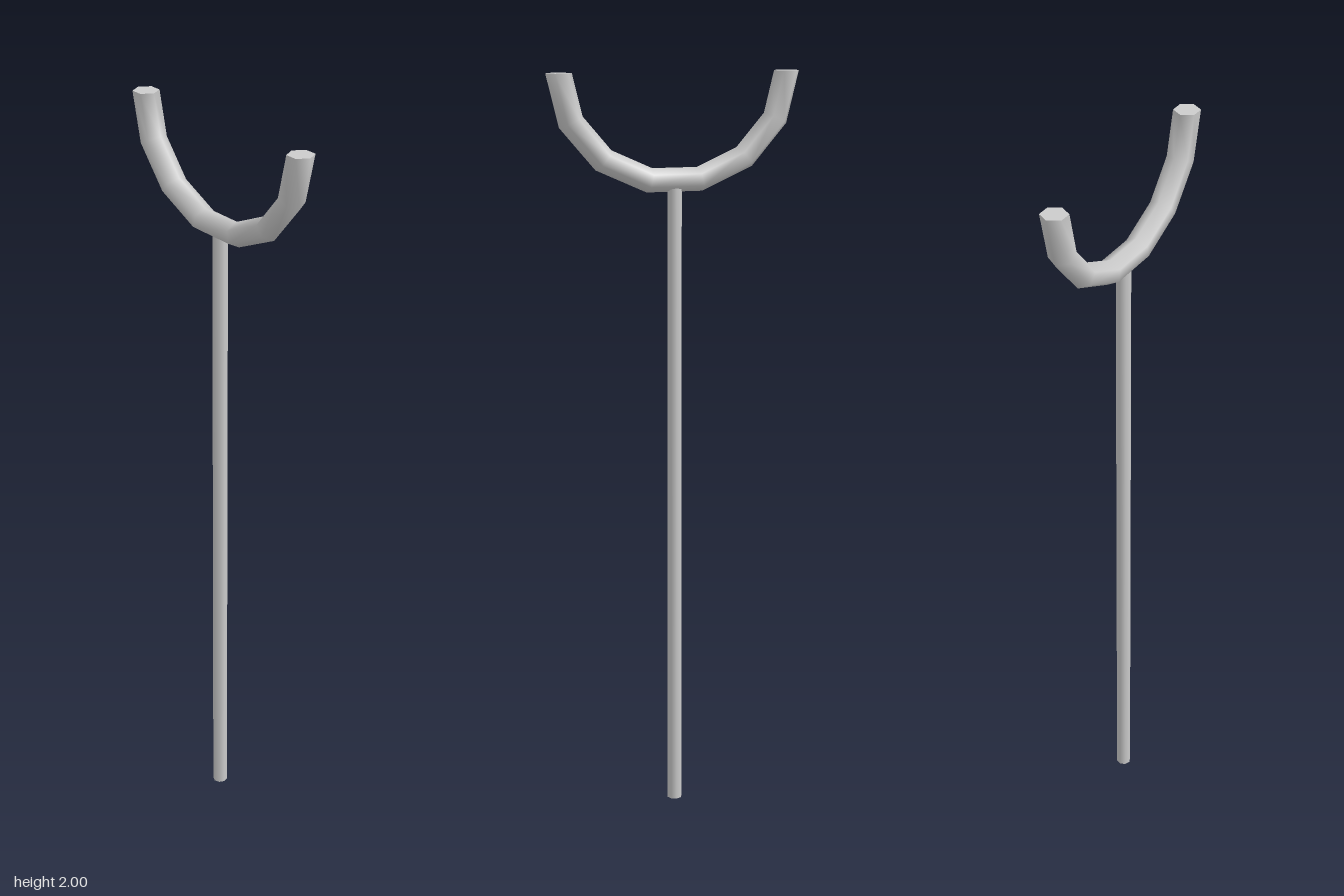
import * as THREE from 'three';

export function createModel() {
  const group = new THREE.Group();
  const material = new THREE.MeshStandardMaterial({ color: 0xcccccc });
  const add = (name, geometry) => {
    const mesh = new THREE.Mesh(geometry, material);
    mesh.name = name;
    group.add(mesh);
    return mesh;
  };

  const top = 2, cradleRadius = 0.31, tubeRadius = 0.035;
  const poleTop = 1.715;

  // Straight pole standing on the ground, its top sunk into the cradle
  add('pole', new THREE.CylinderGeometry(0.02, 0.02, poleTop, 8)).position.y = poleTop / 2;

  // Slightly flattened half ring, open upwards, with a six-sided section
  const arc = new THREE.TorusGeometry(cradleRadius, tubeRadius, 6, 7, Math.PI);
  arc.rotateZ(Math.PI).scale(1, 0.92, 1);
  add('cradle', arc).position.y = top;

  // Flat caps on the two cradle tips
  for (const [name, side] of [['leftTip', 1], ['rightTip', -1]]) {
    const cap = new THREE.CircleGeometry(tubeRadius, 6).rotateX(-Math.PI / 2);
    add(name, cap).position.set(side * cradleRadius, top, 0);
  }

  return group;
}
